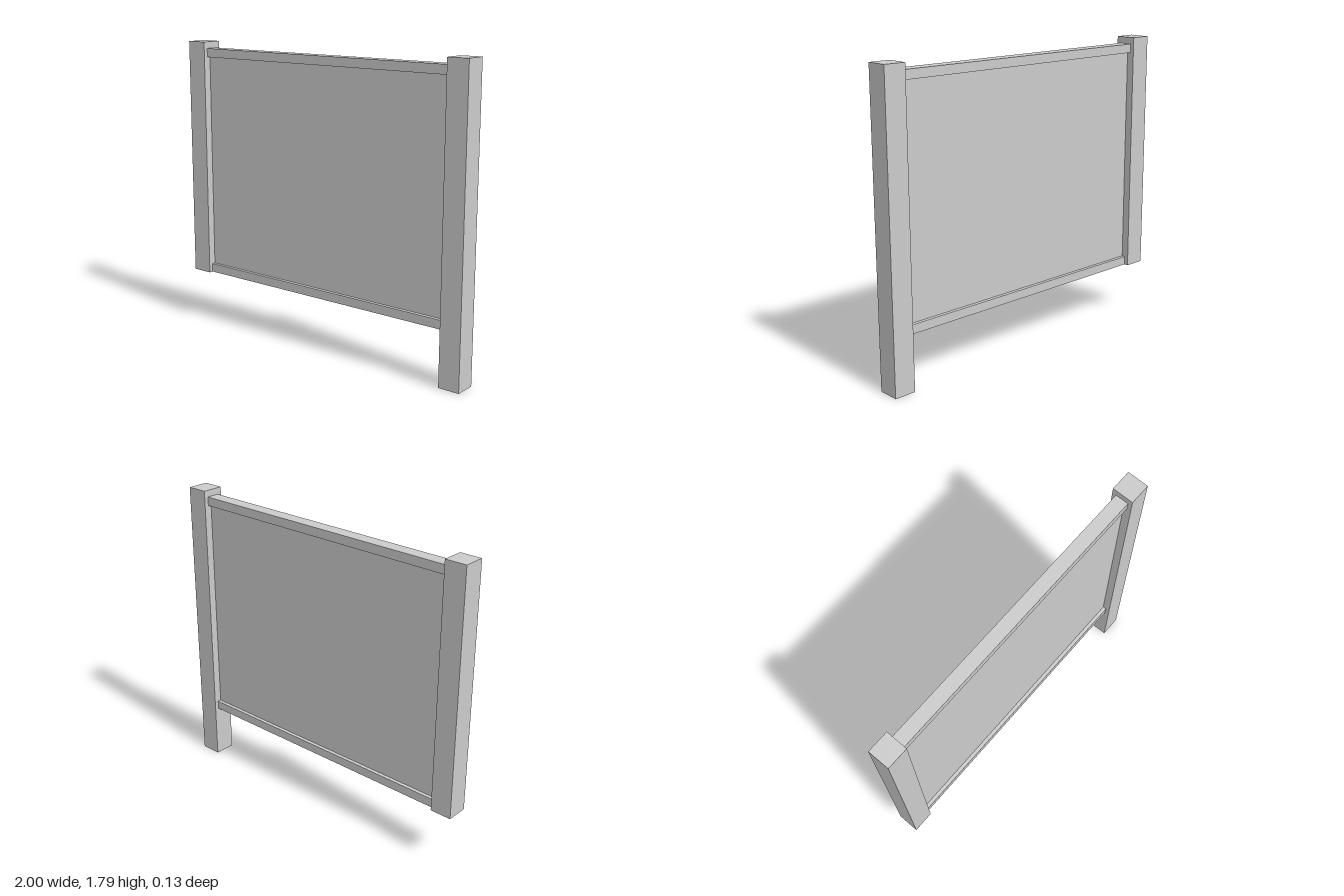
import * as THREE from 'three';

const material = new THREE.MeshStandardMaterial({ color: 0xcccccc, flatShading: true });

// Box spanning x0..x1 and y0..y1, centred on z = 0
function slab(name, x0, x1, y0, y1, depth) {
  const mesh = new THREE.Mesh(new THREE.BoxGeometry(x1 - x0, y1 - y0, depth), material);
  mesh.name = name;
  mesh.position.set((x0 + x1) / 2, (y0 + y1) / 2, 0);
  return mesh;
}

export function createModel() {
  const group = new THREE.Group();
  group.name = 'fencePanel';

  const inner = 0.87, top = 1.79, bottom = 0.325;
  const railHeight = 0.053, railTop = 1.75;

  // Long post reaches the ground; short post ends level with the lower rail
  group.add(slab('longPost', inner, 1, 0, top, 0.13));
  group.add(slab('shortPost', -1, -inner, bottom, top, 0.13));

  // Rails between the posts
  group.add(slab('topRail', -inner, inner, railTop - railHeight, railTop, 0.08));
  group.add(slab('bottomRail', -inner, inner, bottom, bottom + railHeight, 0.08));

  // Recessed infill panel
  group.add(slab('panel', -inner, inner, bottom + railHeight, railTop - railHeight, 0.036));

  return group;
}
